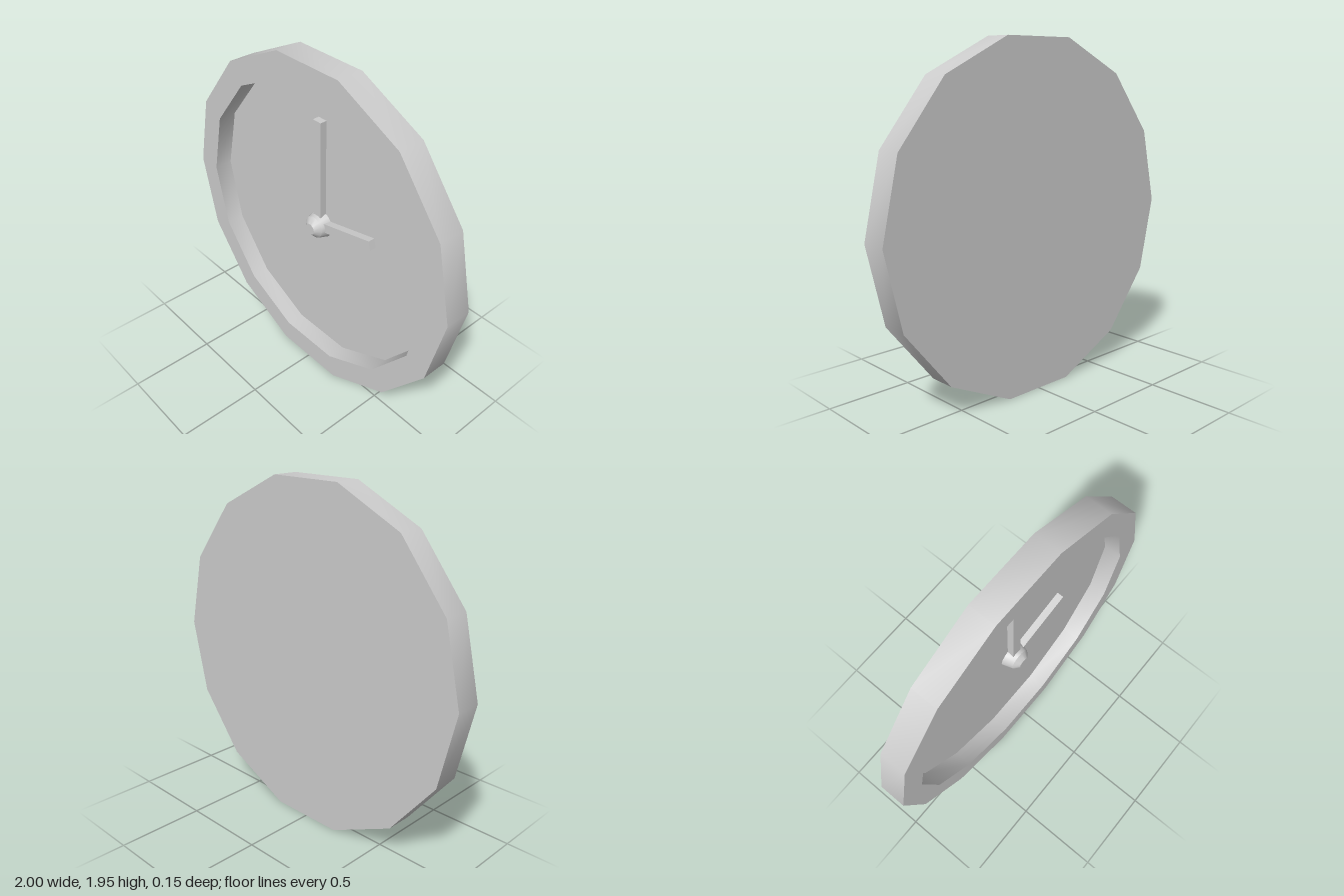
import * as THREE from 'three';
import { toCreasedNormals } from 'three/addons/utils/BufferGeometryUtils.js';

const SIDES = 14;
const HALF_DEPTH = 0.077;
const FLOOR = -0.03; // z of the recessed dial
const CENTRE_Y = Math.sin((3 * 2 * Math.PI) / SIDES); // lowest flat rests on y = 0
const material = new THREE.MeshStandardMaterial({ color: 0xcccccc });

// Turned part whose axis points to +z; profile entries are [radius, z]
function turned(name, profile) {
  const points = profile.map(([r, z]) => new THREE.Vector2(r, z));
  const lathe = new THREE.LatheGeometry(points, SIDES, Math.PI / 2).rotateX(Math.PI / 2);
  const mesh = new THREE.Mesh(toCreasedNormals(lathe, 0.5), material);
  mesh.name = name;
  return mesh;
}

// Bar lying on the dial, running from the centre outwards at an angle
function hand(name, length, width, angle) {
  const thickness = 0.04;
  const bar = new THREE.BoxGeometry(length, width, thickness);
  bar.translate(length / 2, 0, FLOOR + thickness / 2);
  const mesh = new THREE.Mesh(bar, material);
  mesh.name = name;
  mesh.rotation.z = angle;
  return mesh;
}

export function createModel() {
  const clock = new THREE.Group();
  clock.name = 'wallClock';

  // Back, rim and recessed dial in one profile
  const body = turned('clockCase', [
    [0, -HALF_DEPTH], [1, -HALF_DEPTH], [1, HALF_DEPTH],
    [0.857, HALF_DEPTH], [0.857, FLOOR], [0, FLOOR],
  ]);

  // Domed centre cap
  const hub = turned('hub', [[0.083, FLOOR], [0.065, 0.03], [0.033, 0.06], [0, 0.06]]);

  const minuteHand = hand('minuteHand', 0.65, 0.058, Math.PI / 2);
  const hourHand = hand('hourHand', 0.418, 0.055, 0.23);

  clock.add(body, hub, minuteHand, hourHand);
  clock.children.forEach((part) => { part.position.y = CENTRE_Y; });
  return clock;
}
